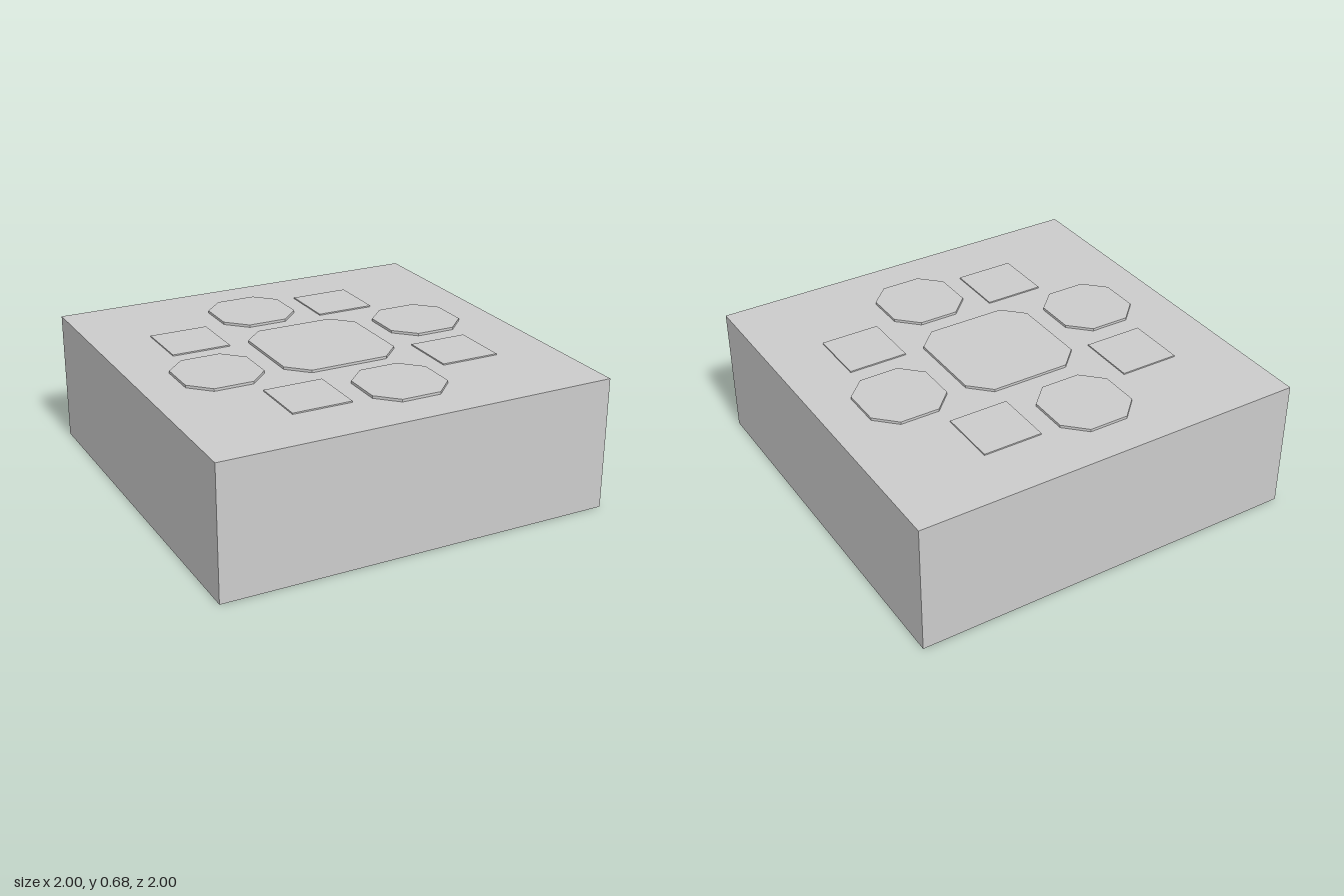
import * as THREE from 'three';

const BASE_TOP = 0.667;
const material = new THREE.MeshStandardMaterial({ color: 0xcccccc, flatShading: true });

// Flat square tile lying on the block, with optional cut corners
function tile(name, x, z, size, height, cut) {
  const h = size / 2, c = h - cut;
  const points = cut > 0
    ? [[c, -h], [h, -c], [h, c], [c, h], [-c, h], [-h, c], [-h, -c], [-c, -h]]
    : [[h, -h], [h, h], [-h, h], [-h, -h]];
  const shape = new THREE.Shape(points.map(([px, py]) => new THREE.Vector2(px, py)));
  const geometry = new THREE.ExtrudeGeometry(shape, { depth: height, bevelEnabled: false });
  geometry.rotateX(-Math.PI / 2);
  const mesh = new THREE.Mesh(geometry, material);
  mesh.name = name;
  mesh.position.set(x, BASE_TOP, z);
  return mesh;
}

export function createModel() {
  const model = new THREE.Group();
  model.name = 'studdedBlock';

  // Solid block
  const block = new THREE.Mesh(new THREE.BoxGeometry(2, BASE_TOP, 2), material);
  block.name = 'block';
  block.position.y = BASE_TOP / 2;
  model.add(block);

  // Raised centre plate
  model.add(tile('centrePlate', 0, 0, 0.6, 0.013, 0.1));

  // Pinwheel of octagonal plates and thinner square plates, one of each per quarter turn
  let oct = [0.1, 0.6], sq = [-0.35, 0.55];
  for (let i = 1; i <= 4; i++) {
    model.add(tile('octagonPlate' + i, oct[0], oct[1], 0.4, 0.013, 0.1));
    model.add(tile('squarePlate' + i, sq[0], sq[1], 0.3, 0.0065, 0));
    oct = [oct[1], -oct[0]];
    sq = [sq[1], -sq[0]];
  }
  return model;
}
